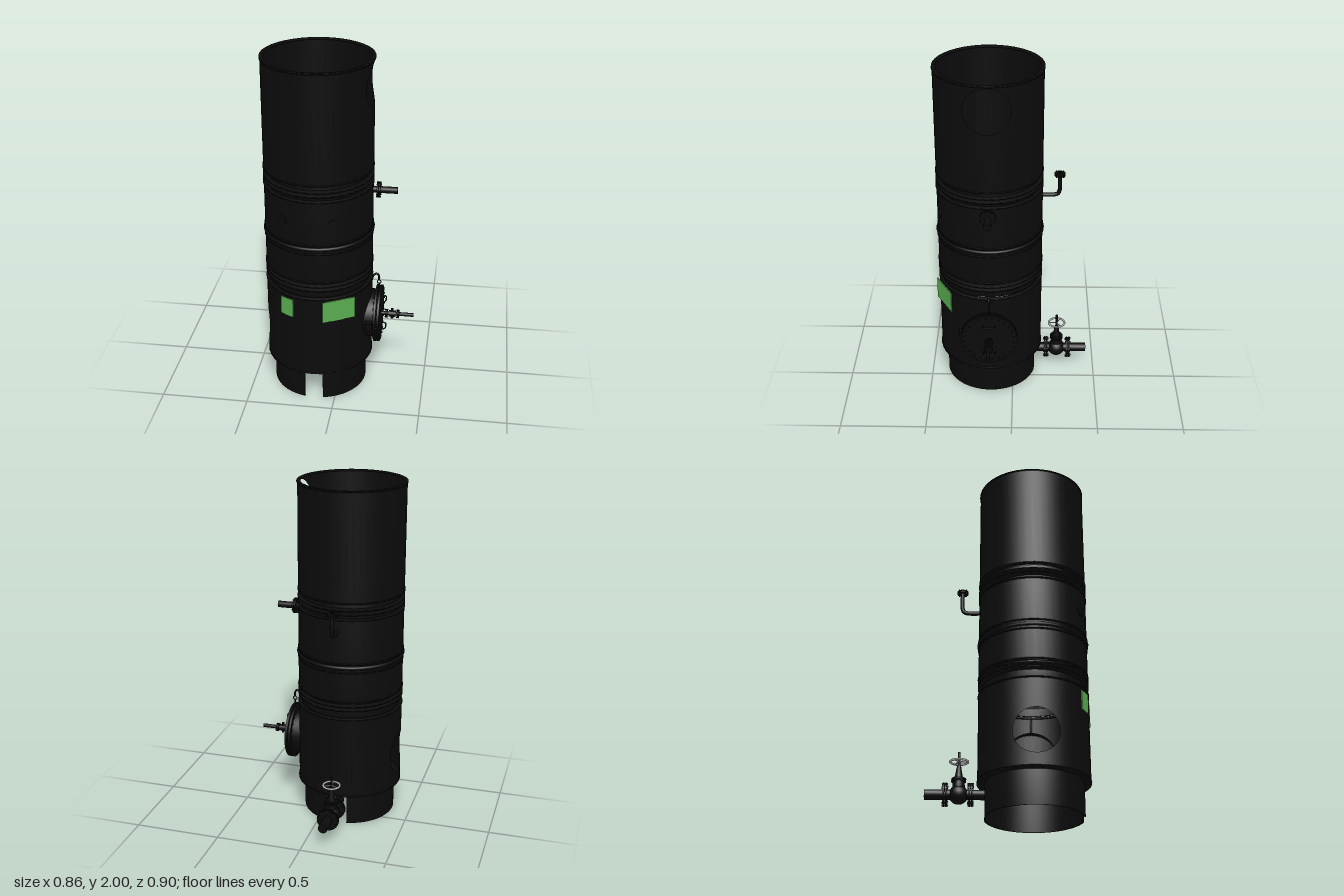
import * as THREE from 'three';

const CX = -0.12, CZ = 0.135, R = 0.305, SEG = 40;
const UP = new THREE.Vector3(0, 1, 0);

export function createModel() {
  const mat = (name, color, side = THREE.FrontSide) => {
    const m = new THREE.MeshStandardMaterial({ color, side });
    m.name = name;
    return m;
  };
  const black = mat('blackSteel', 0x0b0b0b, THREE.DoubleSide);
  const green = mat('greenPlate', 0x5aac50);
  const grey = mat('greyWheel', 0xb8b8b8);

  const model = new THREE.Group();
  model.name = 'tank';
  const group = (name, parent = model) => {
    const g = new THREE.Group();
    g.name = name;
    parent.add(g);
    return g;
  };
  const add = (parent, name, geo, material = black) => {
    const m = new THREE.Mesh(geo, material);
    m.name = name;
    parent.add(m);
    return m;
  };
  // Cylinder between two points
  const rod = (parent, name, a, b, r, r2 = r, seg = 20) => {
    const p = new THREE.Vector3(...a), q = new THREE.Vector3(...b);
    const d = q.clone().sub(p);
    const m = add(parent, name, new THREE.CylinderGeometry(r2, r, d.length(), seg));
    m.position.copy(p).add(q).multiplyScalar(0.5);
    m.quaternion.setFromUnitVectors(UP, d.normalize());
    return m;
  };
  const tube = (parent, name, pts, r) => add(parent, name, new THREE.TubeGeometry(
    new THREE.CatmullRomCurve3(pts.map(p => new THREE.Vector3(...p)), false, 'centripetal'), 28, r, 10));
  const lathe = (parent, name, pts, start = 0, length = Math.PI * 2) => add(parent, name,
    new THREE.LatheGeometry(pts.map(p => new THREE.Vector2(...p)), SEG, start, length));
  const ring = (name, y, inner, outer, h) => lathe(vessel, name,
    [[inner, y - h / 2], [outer, y - h / 2], [outer, y + h / 2], [inner, y + h / 2], [inner, y - h / 2]]);

  // Curved wall patch with a round hole, made of loops from the hole to the edge
  function holedPatch(angle, half, y0, y1, holeY, holeR) {
    const n = 96, loops = 6, pos = [], idx = [];
    for (let j = 0; j <= loops; j++) for (let i = 0; i <= n; i++) {
      const t = i / n * Math.PI * 2, c = Math.cos(t), s = Math.sin(t);
      const k = 1 / Math.max(Math.abs(c), Math.abs(s));
      const f = j / loops;
      const edgeY = s > 0 ? y1 - holeY : holeY - y0;
      const a = angle + THREE.MathUtils.lerp(Math.asin(c * holeR / R), c * k * half, f);
      const y = holeY + THREE.MathUtils.lerp(s * holeR, s * k * edgeY, f);
      pos.push(R * Math.sin(a), y, R * Math.cos(a));
      if (j < loops && i < n) {
        const p = j * (n + 1) + i, q = p + n + 1;
        idx.push(p, q, p + 1, q, q + 1, p + 1);
      }
    }
    const g = new THREE.BufferGeometry();
    g.setAttribute('position', new THREE.Float32BufferAttribute(pos, 3));
    g.setIndex(idx);
    g.computeVertexNormals();
    return g;
  }
  const holedShell = (name, angle, y0, y1, holeY, holeR) => {
    const half = 0.52;
    add(vessel, name + 'Opening', holedPatch(angle, half, y0, y1, holeY, holeR));
    lathe(vessel, name, [[R, y0], [R, y1]], angle + half, Math.PI * 2 - 2 * half);
  };

  // Vessel shells
  const vessel = group('vessel');
  vessel.position.set(CX, 0, CZ);
  holedShell('upperShell', Math.PI / 2, 1.375, 2, 1.855, 0.13);
  holedShell('lowerShell', -Math.PI / 2, 0.19, 0.69, 0.39, 0.125);
  lathe(vessel, 'middleShell', [[0.285, 0.79], [R, 0.79], [R, 1.285], [0.285, 1.285]]);
  for (const y of [1.995, 1.379, 1.283, 1.025, 0.972, 0.794, 0.686, 0.194]) ring('edgeBand', y, 0.288, 0.309, 0.008);
  const bead = add(vessel, 'middleBead', new THREE.TorusGeometry(0.302, 0.012, 10, SEG));
  bead.rotation.x = Math.PI / 2;
  bead.position.y = 1;

  // Flanged joints
  for (const [lo, hi, mid] of [[1.285, 1.375, 1.328], [0.69, 0.79, 0.755]]) {
    ring('jointNeck', (lo + hi) / 2, 0.275, 0.285, hi - lo);
    for (const s of [-1, 1]) ring('jointFlange', mid + s * 0.012, 0.272, 0.308, 0.012);
  }

  // Skirt with front and back gaps
  ring('skirtPlate', 0.192, 0.265, R, 0.006);
  for (const start of [0.195, Math.PI + 0.195]) lathe(vessel, 'skirt',
    [[0.262, 0], [0.27, 0], [0.27, 0.19], [0.262, 0.19], [0.262, 0]], start, Math.PI - 0.39);

  // Front sockets and sign plates
  for (const a of [0.403, -0.552]) {
    const s = Math.sin(a), c = Math.cos(a);
    rod(vessel, 'socket', [0.29 * s, 1.15, 0.29 * c], [0.308 * s, 1.15, 0.308 * c], 0.028);
  }
  for (const [a, w, h] of [[0.5, 0.194, 0.13], [-0.49, 0.085, 0.11]]) {
    const p = add(vessel, 'signPlate', new THREE.BoxGeometry(w, h, 0.006), green);
    p.position.set(0.306 * Math.sin(a), 0.61, 0.306 * Math.cos(a));
    p.rotation.y = a;
  }

  // Bolted flange pair along a direction, centred on p
  function flangePair(parent, p, axis, r, gap, thick, bolts, boltR) {
    const at = (d, u = 0, v = 0) => axis === 'x' ? [p[0] + d, p[1] + u, p[2] + v]
      : axis === 'z' ? [p[0] + u, p[1] + v, p[2] + d] : [p[0] + u, p[1] + d, p[2] + v];
    for (const s of [-1, 1]) rod(parent, 'flange', at(s * gap / 2), at(s * (gap / 2 + thick)), r, r, 32);
    const len = gap / 2 + thick + boltR;
    for (let i = 0; i < bolts; i++) {
      const t = (i + 0.5) / bolts * Math.PI * 2, u = Math.cos(t) * r * 0.88, v = Math.sin(t) * r * 0.88;
      rod(parent, 'bolt', at(-len, u, v), at(len, u, v), boltR, boltR, 6);
    }
  }

  // Manhole on the left side
  const hatch = group('manhole');
  const HY = 0.443;
  const neck = add(hatch, 'manholeNeck', new THREE.CylinderGeometry(0.14, 0.14, 0.065, 36, 1, true));
  neck.rotation.z = Math.PI / 2;
  neck.position.set(0.173, HY, CZ);
  flangePair(hatch, [0.224, HY, CZ], 'x', 0.166, 0.006, 0.014, 24, 0.006);
  const hinge = add(hatch, 'hingeBlock', new THREE.BoxGeometry(0.036, 0.05, 0.05));
  hinge.position.set(0.184, HY, 0.285);
  for (const y of [0.355, 0.54]) tube(hatch, 'handle',
    [[0.24, y, 0.1], [0.262, y, 0.103], [0.267, y, 0.112], [0.267, y, 0.158], [0.262, y, 0.167], [0.24, y, 0.17]], 0.004);
  // Lifting arm and eye bolt
  tube(hatch, 'liftingArm', [[0.178, 0.6, CZ], [0.182, 0.66, CZ], [0.195, 0.695, CZ], [0.213, 0.705, CZ], [0.224, 0.69, CZ], [0.225, 0.665, CZ]], 0.006);
  const eye = add(hatch, 'eyeBolt', new THREE.TorusGeometry(0.011, 0.003, 8, 16));
  eye.position.set(0.225, 0.652, CZ);
  rod(hatch, 'eyeShank', [0.225, 0.6, CZ], [0.225, 0.643, CZ], 0.004);
  // Sampling pipe through the cover
  rod(hatch, 'samplePipe', [0.24, HY, CZ], [0.43, HY, CZ], 0.011);
  rod(hatch, 'sampleValve', [0.285, HY, CZ], [0.325, HY, CZ], 0.019);
  rod(hatch, 'sampleStem', [0.305, HY - 0.03, CZ], [0.305, HY + 0.034, CZ], 0.008);
  for (const x of [0.272, 0.338]) flangePair(hatch, [x, HY, CZ], 'x', 0.025, 0.003, 0.005, 4, 0.003);

  // Upper side nozzle
  const nozzle = group('sideNozzle');
  rod(nozzle, 'nozzlePipe', [0.15, 1.24, CZ], [0.32, 1.24, CZ], 0.019);
  flangePair(nozzle, [0.215, 1.24, CZ], 'x', 0.045, 0.004, 0.007, 8, 0.004);

  // Vent elbow at the back
  const vent = group('ventElbow');
  tube(vent, 'ventPipe', [[CX, 1.212, -0.14], [CX, 1.212, -0.235], [CX, 1.22, -0.257], [CX, 1.242, -0.266], [CX, 1.355, -0.266]], 0.012);
  flangePair(vent, [CX, 1.342, -0.266], 'y', 0.032, 0.003, 0.006, 4, 0.004);

  // Drain pipe and gate valve at the back
  const drain = group('drainValve');
  const VY = 0.13, VZ = -0.268;
  rod(drain, 'drainPipe', [CX, VY, -0.09], [CX, VY, -0.45], 0.0275, 0.0275, 24);
  for (const z of [-0.204, -0.34]) flangePair(drain, [CX, VY, z], 'z', 0.064, 0.005, 0.008, 8, 0.006);
  const body = add(drain, 'valveBody', new THREE.SphereGeometry(0.052, 24, 16));
  body.position.set(CX, VY, VZ);
  rod(drain, 'bonnet', [CX, VY, VZ], [CX, 0.21, VZ], 0.038, 0.03);
  flangePair(drain, [CX, 0.21, VZ], 'y', 0.04, 0.003, 0.007, 6, 0.004);
  rod(drain, 'yoke', [CX, 0.215, VZ], [CX, 0.29, VZ], 0.024, 0.011);
  rod(drain, 'stem', [CX, 0.28, VZ], [CX, 0.368, VZ], 0.007);
  const wheel = add(drain, 'handwheel', new THREE.TorusGeometry(0.048, 0.006, 10, 32), grey);
  wheel.rotation.x = Math.PI / 2;
  wheel.position.set(CX, 0.314, VZ);
  for (let i = 0; i < 3; i++) {
    const t = i / 3 * Math.PI * 2;
    rod(drain, 'wheelSpoke', [CX, 0.314, VZ], [CX + 0.046 * Math.sin(t), 0.314, VZ + 0.046 * Math.cos(t)], 0.004, 0.004, 8).material = grey;
  }
  return model;
}
